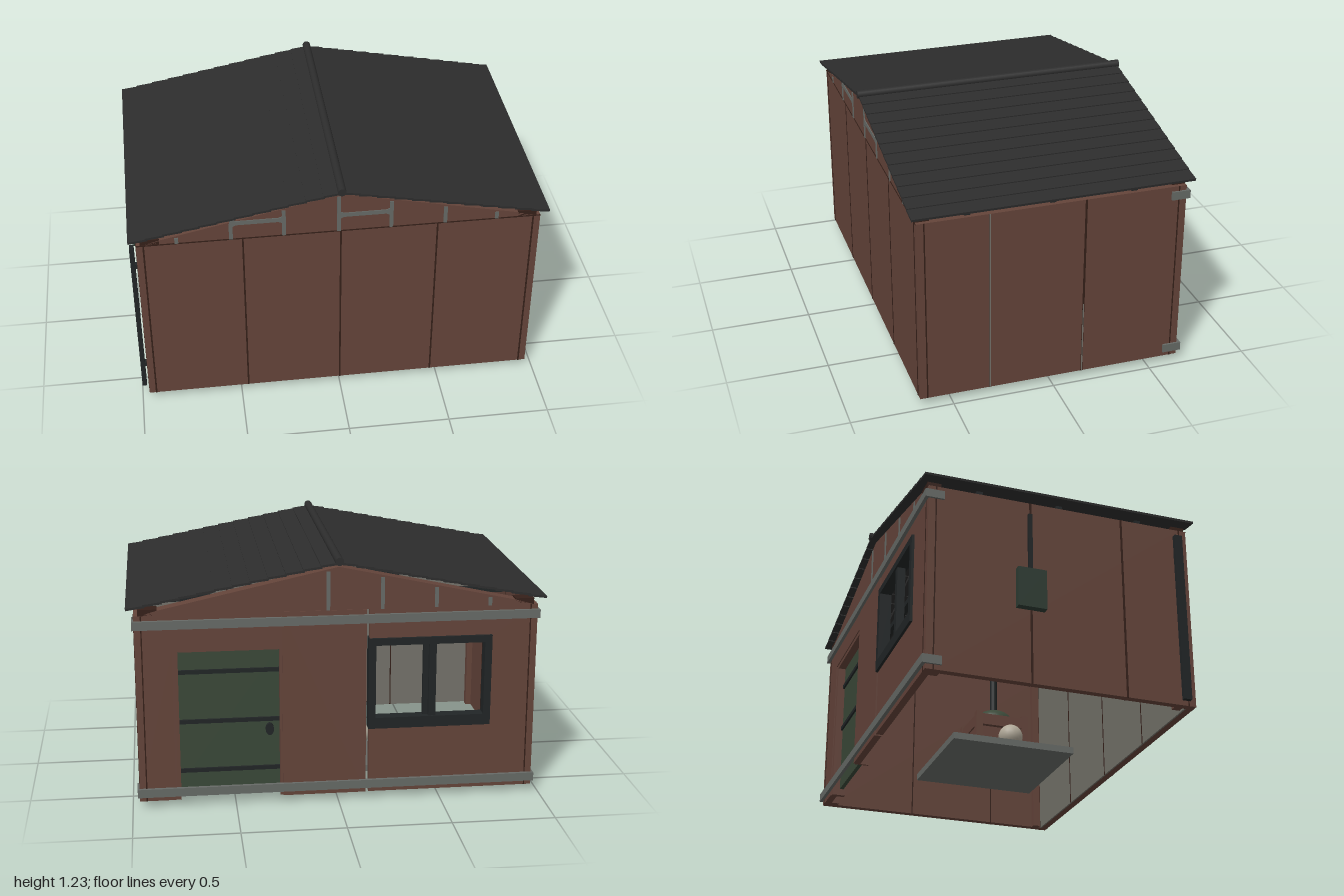
import * as THREE from 'three';

const mat = (name, color) => {
  const m = new THREE.MeshStandardMaterial({ color });
  m.name = name;
  return m;
};

export function createModel() {
  const brown = mat('wall brown', 0x64443a);
  const darkBrown = mat('seam brown', 0x352019);
  const roofGrey = mat('roof charcoal', 0x2d2d2d);
  const steel = mat('steel grey', 0x666a66);
  const green = mat('door green', 0x3a4838);
  const black = mat('trim black', 0x212526);
  const beige = mat('inner beige', 0x74726a);
  const pale = mat('pale stone', 0xb0a898);
  const boxGreen = mat('box green', 0x2e3c33);

  const model = new THREE.Group();
  model.name = 'shed';

  const add = (geo, m, name, x = 0, y = 0, z = 0, parent = model) => {
    const mesh = new THREE.Mesh(geo, m);
    mesh.name = name;
    mesh.position.set(x, y, z);
    parent.add(mesh);
    return mesh;
  };
  // Box given by its lower and upper limits on each axis
  const span = (name, m, x0, x1, y0, y1, z0, z1, parent = model) =>
    add(new THREE.BoxGeometry(x1 - x0, y1 - y0, z1 - z0), m, name,
      (x0 + x1) / 2, (y0 + y1) / 2, (z0 + z1) / 2, parent);
  // Flat outline in x and y, extruded along z, with optional holes
  const slab = (name, m, pts, z, depth, holes = []) => {
    const v = (list) => list.map(([x, y]) => new THREE.Vector2(x, y));
    const shape = new THREE.Shape(v(pts));
    holes.forEach((h) => shape.holes.push(new THREE.Path(v(h))));
    return add(new THREE.ExtrudeGeometry(shape, { depth, bevelEnabled: false }), m, name, 0, 0, z);
  };

  const Y0 = 0.035, Y1 = 0.965, W = 0.965, D = 0.655, T = 0.035;

  // Front wall with seams and pale inner lining
  span('frontWall', brown, -W, W, Y0, Y1, D - T, D);
  span('frontLining', beige, -0.93, 0.93, Y0, Y1, D - T - 0.008, D - T);
  for (const x of [-0.93, -0.465, 0, 0.465, 0.93]) {
    span('frontSeam', darkBrown, x - 0.004, x + 0.004, Y0, Y1, D, D + 0.002);
    span('liningSeam', darkBrown, x - 0.003, x + 0.003, Y0, Y1, D - T - 0.01, D - T - 0.008);
  }
  span('frontTopSeam', darkBrown, -W, W, Y1 - 0.004, Y1 + 0.002, D, D + 0.002);

  // Side walls, seams outside and inside
  for (const s of [-1, 1]) {
    const side = (name, m, d0, d1, y0, y1, z0, z1) =>
      span(name, m, Math.min(s * d0, s * d1), Math.max(s * d0, s * d1), y0, y1, z0, z1);
    side('sideWall', brown, W - T, W, Y0, Y1, -D + T, D - T);
    for (const z of [0.31, -0.155]) {
      side('sideSeam', darkBrown, W, W + 0.002, Y0, Y1, z - 0.005, z + 0.005);
      side('innerSeam', darkBrown, W - T - 0.002, W - T, Y0, Y1, z - 0.003, z + 0.003);
      if (s > 0) side('seamFiller', beige, W + 0.002, W + 0.003, Y0, z > 0 ? Y1 : 0.41, z - 0.003, z + 0.003);
    }
    for (const z of [0.618, -0.618])
      side('cornerSeam', darkBrown, W, W + 0.002, Y0, Y1, z - 0.003, z + 0.003);
    // Inner corner posts
    for (const z of [-0.6, 0.58])
      side('cornerPost', brown, 0.9, W - T, Y0, Y1, z - 0.02, z + 0.02);
    // Wrapped ends of the back rails
    for (const y of [0.08, 0.92])
      side('railEnd', steel, W, W + 0.01, y - 0.021, y + 0.021, -0.668, -0.58);
  }

  // Back wall: door section, plain panel and window section
  const rect = (x0, x1, y0, y1) => [[x0, y0], [x1, y0], [x1, y1], [x0, y1]];
  const doorL = 0.27, doorR = 0.79, doorTop = 0.8;
  slab('doorWall', brown, [[doorR, Y0], [W, Y0], [W, Y1], [doorL, Y1], [doorL, doorTop], [doorR, doorTop]], -D, T);
  slab('middlePanel', brown, rect(-0.135, doorL, Y0, Y1), -D - 0.003, T);
  slab('windowWall', brown, rect(-W, -0.15, Y0, Y1), -D, T, [rect(-0.73, -0.16, 0.38, 0.8)]);
  span('backCornerSeam', darkBrown, -0.934, -0.928, Y0, Y1, -D - 0.002, -D);
  span('backCornerSeam', darkBrown, 0.928, 0.934, Y0, Y1, -D - 0.002, -D);

  // Recessed door with frame, bars and handle
  span('door', green, doorL, doorR, 0.07, doorTop, -0.61, -0.59);
  span('doorJamb', brown, doorR - 0.025, doorR, Y0, doorTop, -0.65, -0.58);
  span('doorJamb', brown, doorL, doorL + 0.012, Y0, doorTop, -0.65, -0.58);
  span('doorHead', brown, doorL, doorR, doorTop - 0.02, doorTop, -0.65, -0.58);
  for (const y of [0.17, 0.42, 0.67])
    span('doorBar', black, doorL + 0.012, doorR - 0.025, y - 0.01, y + 0.01, -0.62, -0.61);
  const handle = add(new THREE.CylinderGeometry(0.02, 0.02, 0.02, 16), black, 'doorHandle', 0.33, 0.37, -0.62);
  handle.rotation.x = Math.PI / 2;
  handle.scale.z = 1.5;

  // Window frame and mullion
  slab('windowFrame', black, rect(-0.745, -0.145, 0.365, 0.82), -0.668, 0.06,
    [rect(-0.71, -0.18, 0.42, 0.785)]);
  span('windowMullion', black, -0.475, -0.44, 0.41, 0.79, -0.66, -0.62);
  span('windowSash', black, -0.44, -0.415, 0.41, 0.79, -0.64, -0.615);

  // Grey rails across the back
  for (const y of [0.08, 0.92])
    span('backRail', steel, -W - 0.01, W + 0.01, y - 0.021, y + 0.021, -0.672, -0.655);

  // Gables
  const gable = [[-0.94, Y1], [0.94, Y1], [0.86, 0.988], [0, 1.175], [-0.86, 0.988]];
  slab('frontGable', brown, gable, 0.59, D - 0.59);
  slab('backGable', brown, gable, -D, D - 0.59);
  const gableTop = (x) => 1.165 - 0.217 * Math.abs(x);
  const strut = (x, top, z) => span('gableStrut', steel, x - 0.009, x + 0.009, Y1, top, z, z + 0.004);
  for (const x of [-0.52, -0.27, -0.01, 0.24, 0.5, 0.75, -0.775]) strut(x, gableTop(x), D);
  for (const x of [0.05, -0.21, -0.47, -0.73]) strut(x, gableTop(x), -D - 0.004);
  // Cross ties with flared ends
  for (const x of [-0.395, 0.115])
    slab('gableTie', steel, [[x - 0.13, 1.03], [x - 0.1, 1.045], [x + 0.1, 1.045], [x + 0.13, 1.03],
      [x + 0.13, 1.08], [x + 0.1, 1.067], [x - 0.1, 1.067], [x - 0.13, 1.08]], D, 0.004);

  // Tie beams and rafters
  for (const z of [-0.4, 0, 0.41]) {
    span('tieBeam', black, -0.945, 0.945, Y1, 0.993, z - 0.015, z + 0.015);
    for (const s of [-1, 1]) {
      const r = add(new THREE.BoxGeometry(0.86, 0.02, 0.03), roofGrey, 'rafter', s * 0.43, 1.065, z);
      r.rotation.z = -s * Math.atan(0.217);
    }
  }
  for (const s of [-1, 1]) for (const z of [-0.622, 0.622])
    span('eaveBlock', darkBrown, s * 0.9 - 0.045, s * 0.9 + 0.045, Y1, 0.995, z - 0.033, z + 0.033);

  // Roof of overlapping boards with a round ridge
  const roof = new THREE.Group();
  roof.name = 'roof';
  model.add(roof);
  const board = new THREE.BoxGeometry(0.09, 0.011, 1.366);
  for (const s of [-1, 1])
    for (let i = 0; i < 12; i++) {
      const x = (i + 0.5) / 12 - (i === 11 ? 0.003 : 0);
      add(board, roofGrey, 'roofBoard', s * x, 1.199 - 0.197 * x, 0, roof).rotation.z = -s * (Math.atan(0.197) - 0.06);
    }
  add(new THREE.CylinderGeometry(0.02, 0.02, 1.38, 16), roofGrey, 'ridge', 0, 1.207, 0, roof).rotation.x = Math.PI / 2;

  // Meter box, conduit and downpipe on the right wall
  span('meterBox', boxGreen, -1, -W, 0.4, 0.6, -0.23, -0.09);
  span('conduit', black, -0.98, -W, 0.6, 0.9, -0.17, -0.15);
  span('downpipe', black, -0.998, -0.976, 0.055, 0.92, 0.58, 0.62);
  for (const y of [0.19, 0.81]) span('pipeBracket', black, -0.985, -W, y - 0.01, y + 0.01, 0.585, 0.615);

  // Base plate
  span('basePlate', steel, -0.31, 0.31, 0, 0.033, -0.31, 0.31);

  // Crate with slats, lidded dome and pole
  const crate = new THREE.Group();
  crate.name = 'crate';
  model.add(crate);
  span('crateCore', darkBrown, -0.12, 0.12, 0.033, 0.232, -0.12, 0.12, crate);
  for (let i = 0; i < 3; i++) {
    const y = 0.04 + i * 0.067;
    span('crateSlat', brown, -0.13, 0.13, y, y + 0.057, -0.13, 0.13, crate);
  }
  for (const x of [-1, 1]) for (const z of [-1, 1])
    span('crateCorner', brown, x * 0.12 - 0.016, x * 0.12 + 0.016, 0.033, 0.24, z * 0.12 - 0.016, z * 0.12 + 0.016, crate);
  const dome = add(new THREE.SphereGeometry(0.1, 24, 10, 0, Math.PI * 2, 0, Math.PI / 2), green, 'dome', 0, 0.232, 0);
  dome.scale.y = 0.7;
  add(new THREE.CylinderGeometry(0.018, 0.018, 0.3, 16), black, 'pole', 0, 0.44, 0);
  add(new THREE.SphereGeometry(0.06, 20, 14), pale, 'ball', -0.2, 0.093, 0.02);

  return model;
}
